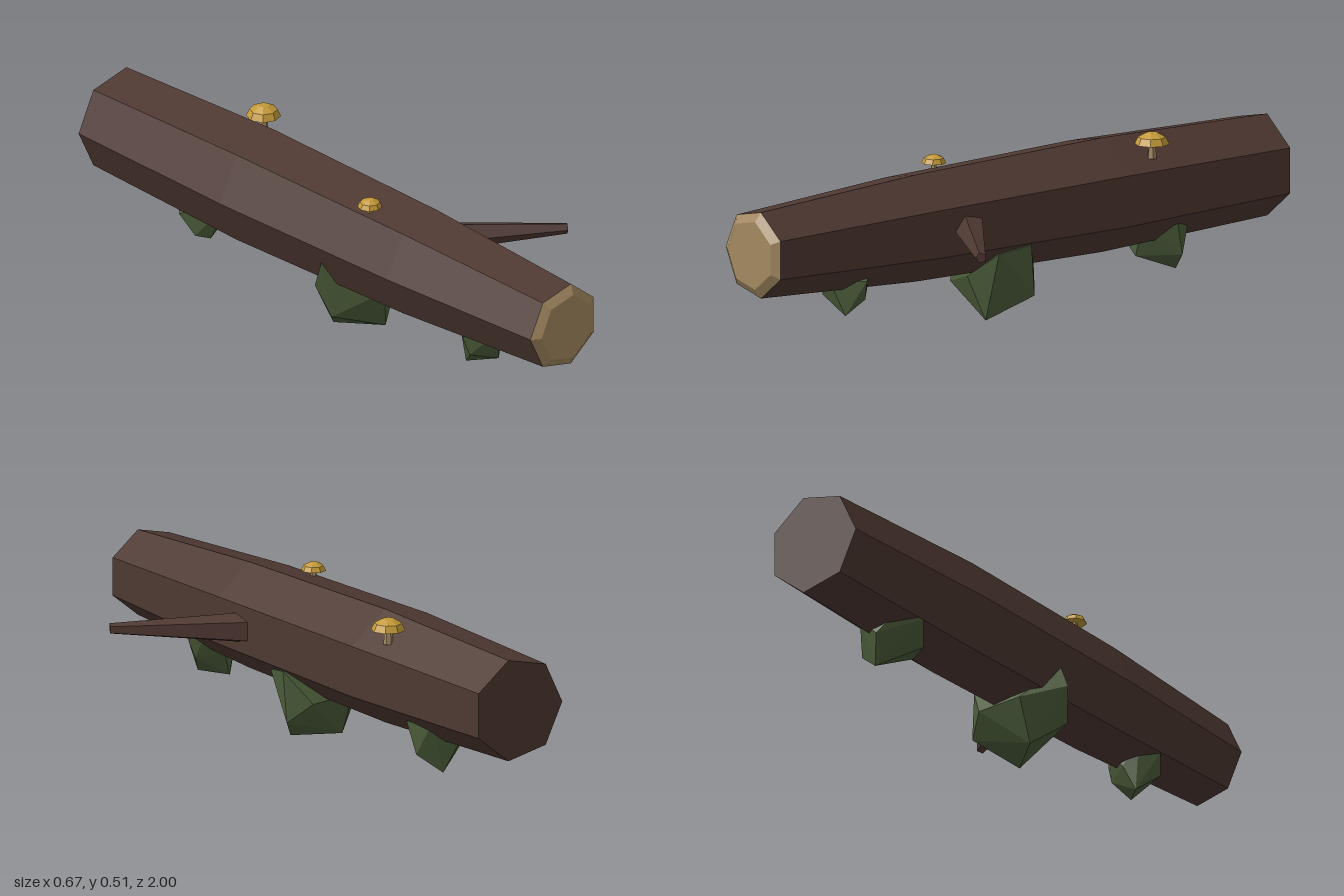
import * as THREE from 'three';
import { ConvexGeometry } from 'three/addons/geometries/ConvexGeometry.js';

const flat = (name, color) => {
  const m = new THREE.MeshStandardMaterial({ color, flatShading: true });
  m.name = name;
  return m;
};

export function createModel() {
  const bark = flat('bark brown', 0x4e3831);
  const wood = flat('cut wood tan', 0xa38960);
  const gold = flat('mushroom gold', 0xc49a38);
  const moss = flat('moss green', 0x4b5d3a);

  const model = new THREE.Group();
  model.name = 'fallenLog';

  const add = (name, geometry, material, parent = model) => {
    const mesh = new THREE.Mesh(geometry, material);
    mesh.name = name;
    parent.add(mesh);
    return mesh;
  };

  // Seven-sided turned shape from [radius, z] pairs, lying along z with a corner at -x
  const turnedAlongZ = (profile) =>
    new THREE.LatheGeometry(profile.map(([r, z]) => new THREE.Vector2(r, z)), 7, -Math.PI / 2)
      .rotateX(Math.PI / 2)
      .translate(-0.151, 0.322, 0);

  // Trunk, with a closed back end and a bevelled sawn face at the front
  add('trunk', turnedAlongZ([[0, -1], [0.162, -1], [0.182, -0.35], [0.17, 0.38], [0.137, 0.982]]), bark);
  add('sawnFace', turnedAlongZ([[0.137, 0.982], [0.108, 1], [0, 1]]), wood);

  // Five-sided tapering branch stub
  const base = new THREE.Vector3(-0.02, 0.3215, 0.249);
  const tip = new THREE.Vector3(0.326, 0.3205, 0.486);
  const axis = tip.clone().sub(base);
  const branch = add('branch', new THREE.CylinderGeometry(0.017, 0.05, axis.length(), 5), bark);
  const along = axis.clone().normalize();
  const side = new THREE.Vector3().crossVectors(along, new THREE.Vector3(0, 1, 0)).normalize();
  const up = new THREE.Vector3().crossVectors(side, along);
  branch.quaternion.setFromRotationMatrix(new THREE.Matrix4().makeBasis(up.negate(), along, side));
  branch.position.copy(base).lerp(tip, 0.5);

  // Mushrooms: faceted cap on a short stem
  const addMushroom = (name, x, y, z, r, capHeight, stemHeight) => {
    const group = new THREE.Group();
    group.name = name;
    group.position.set(x, y, z);
    const cap = [[0, 0], [1, 0], [0.8, 0.62], [0.33, 1], [0, 1]]
      .map(([px, py]) => new THREE.Vector2(px * r, py * capHeight));
    add('cap', new THREE.LatheGeometry(cap, 8), gold, group);
    const stem = new THREE.CylinderGeometry(r * 0.22, r * 0.28, stemHeight, 6);
    add('stem', stem.translate(0, -stemHeight / 2, 0), wood, group);
    model.add(group);
  };
  addMushroom('smallMushroom', -0.234, 0.48, 0.21, 0.038, 0.025, 0.03);
  addMushroom('largeMushroom', -0.032, 0.475, -0.48, 0.053, 0.035, 0.045);

  // Irregular faceted moss clumps hanging beneath the trunk
  const addMoss = (name, points) =>
    add(name, new ConvexGeometry(points.map((p) => new THREE.Vector3(...p))), moss);

  addMoss('middleMoss', [
    [-0.322, 0.19, 0.06], [-0.29, 0.088, 0.1], [-0.208, 0.015, 0.02], [-0.09, 0.003, 0.125],
    [0.003, 0.08, 0.01], [0.007, 0.24, 0.025], [-0.295, 0.26, 0.06], [-0.13, 0.14, 0.165],
    [-0.21, 0.15, -0.035], [-0.06, 0.14, -0.04], [-0.02, 0.22, 0.13],
  ]);
  addMoss('frontMoss', [
    [-0.245, 0.2, 0.63], [-0.23, 0.135, 0.65], [-0.185, 0.078, 0.585], [-0.115, 0.088, 0.655],
    [-0.055, 0.2, 0.62], [-0.075, 0.14, 0.61], [-0.15, 0.2, 0.69], [-0.15, 0.16, 0.565],
    [-0.2, 0.22, 0.58], [-0.09, 0.22, 0.58],
  ]);
  addMoss('backMoss', [
    [-0.27, 0.18, -0.6], [-0.24, 0.11, -0.56], [-0.19, 0.09, -0.545], [-0.12, 0.05, -0.645],
    [-0.045, 0.11, -0.61], [-0.03, 0.21, -0.58], [-0.13, 0.2, -0.525], [-0.15, 0.14, -0.68],
    [-0.22, 0.21, -0.65], [-0.07, 0.21, -0.655],
  ]);

  return model;
}
